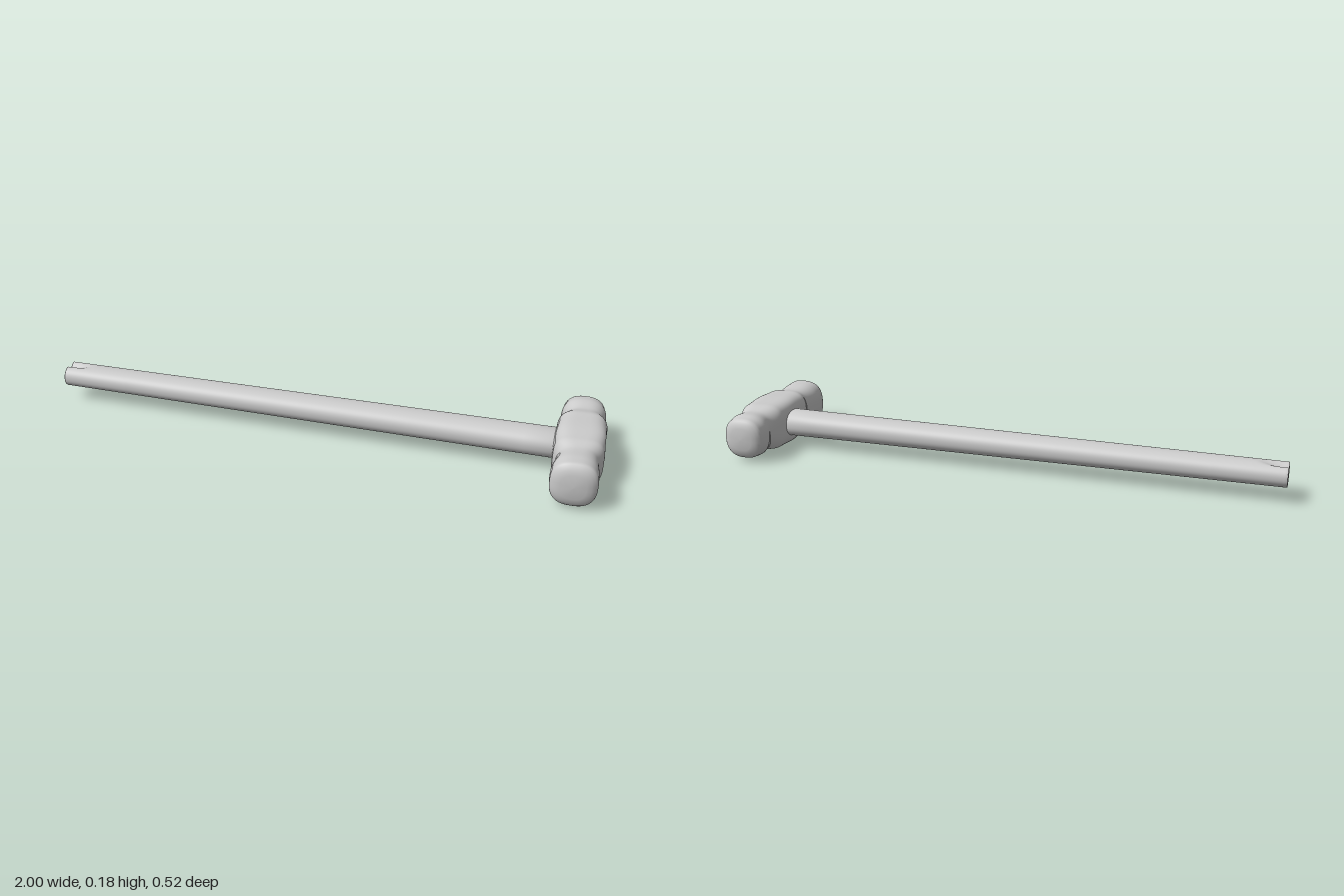
import * as THREE from 'three';

const mat = new THREE.MeshStandardMaterial({ color: 0xcccccc, roughness: 0.7 });

// Closed skin over rings: point(i, angle) gives a position; end rings collapse to a point
function loft(rings, sides, point) {
  const pos = [], idx = [];
  for (let i = 0; i < rings; i++)
    for (let j = 0; j < sides; j++) pos.push(...point(i, (j / sides) * Math.PI * 2));
  for (let i = 0; i < rings - 1; i++)
    for (let j = 0; j < sides; j++) {
      const k = (j + 1) % sides;
      const a = i * sides + j, b = i * sides + k, c = b + sides, d = a + sides;
      if (i > 0) idx.push(a, b, c);
      else idx.push(a, c, d);
      if (i > 0 && i < rings - 2) idx.push(a, c, d);
    }
  const g = new THREE.BufferGeometry();
  g.setAttribute('position', new THREE.Float32BufferAttribute(pos, 3));
  g.setIndex(idx);
  g.computeVertexNormals();
  return g;
}

// Linear lookup in rows sorted by their first value
function sample(rows, t) {
  let i = 0;
  while (i < rows.length - 2 && t > rows[i + 1][0]) i++;
  const a = rows[i], b = rows[i + 1];
  const f = THREE.MathUtils.clamp((t - a[0]) / (b[0] - a[0]), 0, 1);
  const s = f * f * (3 - 2 * f);
  return a.map((v, k) => THREE.MathUtils.lerp(v, b[k], k ? s : f));
}

const roundPow = (v, n) => Math.sign(v) * Math.pow(Math.abs(v), 2 / n);

function makeHead() {
  // z, x min, x max, y min, y max, squareness
  const body = [
    [-0.235, 0.838, 0.985, 0.014, 0.163, 2.5],
    [-0.2, 0.834, 0.99, 0.01, 0.168, 2.5],
    [-0.15, 0.846, 0.984, 0.013, 0.164, 2.6],
    [-0.09, 0.826, 0.997, 0.003, 0.175, 3.4],
    [0, 0.823, 1, 0.001, 0.177, 3.8],
    [0.08, 0.826, 0.996, 0.004, 0.175, 3.4],
    [0.13, 0.84, 0.98, 0.015, 0.168, 2.7],
    [0.2, 0.828, 0.985, 0.01, 0.174, 2.6],
    [0.235, 0.83, 0.985, 0.012, 0.175, 2.6],
  ];
  // z and scale of the slightly domed striking faces
  const face = [[0.261, 0], [0.2605, 0.25], [0.258, 0.55], [0.254, 0.75], [0.247, 0.9], [0.241, 0.97]];
  const stations = face.map(([z, s]) => [-z, s]);
  for (let i = 0; i <= 60; i++) stations.push([-0.235 + (0.47 * i) / 60, 1]);
  stations.push(...face.slice().reverse());

  return loft(stations.length, 72, (i, a) => {
    const [z, s] = stations[i];
    const [, x0, x1, y0, y1, n] = sample(body, THREE.MathUtils.clamp(z, -0.235, 0.235));
    let x = (x0 + x1) / 2 + (s * (x1 - x0) * roundPow(Math.cos(a), n)) / 2;
    const y = (y0 + y1) / 2 + (s * (y1 - y0) * roundPow(Math.sin(a), n)) / 2;
    // oval eye sunk into the outer side
    if (x > 0.92) {
      const r = Math.hypot((z + 0.005) / 0.085, (y - 0.09) / 0.06);
      x -= 0.022 * (1 - THREE.MathUtils.smoothstep(r, 0.6, 1.05));
    }
    return [x, y, z];
  });
}

function makeHandle() {
  // x, y min, y max, z min, z max
  const ends = [[-1, 0.051, 0.132, -0.078, 0.027], [0.86, 0.041, 0.138, -0.075, 0.047]];
  const stations = [[-1, 0], [-1, 0.4], [-1, 0.8], [-1, 0.97], [-0.997, 1]];
  for (let i = 1; i <= 30; i++) stations.push([-0.997 + 0.25 * i / 30, 1]);
  for (let i = 1; i <= 12; i++) stations.push([-0.747 + 1.607 * i / 12, 1]);
  stations.push([0.86, 0]);

  return loft(stations.length, 64, (i, a) => {
    const [x, s] = stations[i];
    const f = (x + 1) / 1.86;
    const [, y0, y1, z0, z1] = ends[0].map((v, k) => THREE.MathUtils.lerp(v, ends[1][k], f));
    let y = (y0 + y1) / 2 + (s * (y1 - y0) * roundPow(Math.cos(a), 2.2)) / 2;
    const z = (z0 + z1) / 2 + (s * (z1 - z0) * roundPow(Math.sin(a), 2.2)) / 2;
    // split worn into the top of the free end
    if (Math.cos(a) > 0) {
      const across = Math.max(0, 1 - Math.abs(z + 0.03) / 0.024);
      y -= 0.022 * s * across * (1 - THREE.MathUtils.smoothstep(x, -0.99, -0.89));
    }
    return [x, y, z];
  });
}

export function createModel() {
  const group = new THREE.Group();
  group.name = 'sledgehammer';
  for (const [name, geometry] of [['head', makeHead()], ['handle', makeHandle()]]) {
    const mesh = new THREE.Mesh(geometry, mat);
    mesh.name = name;
    group.add(mesh);
  }
  return group;
}
